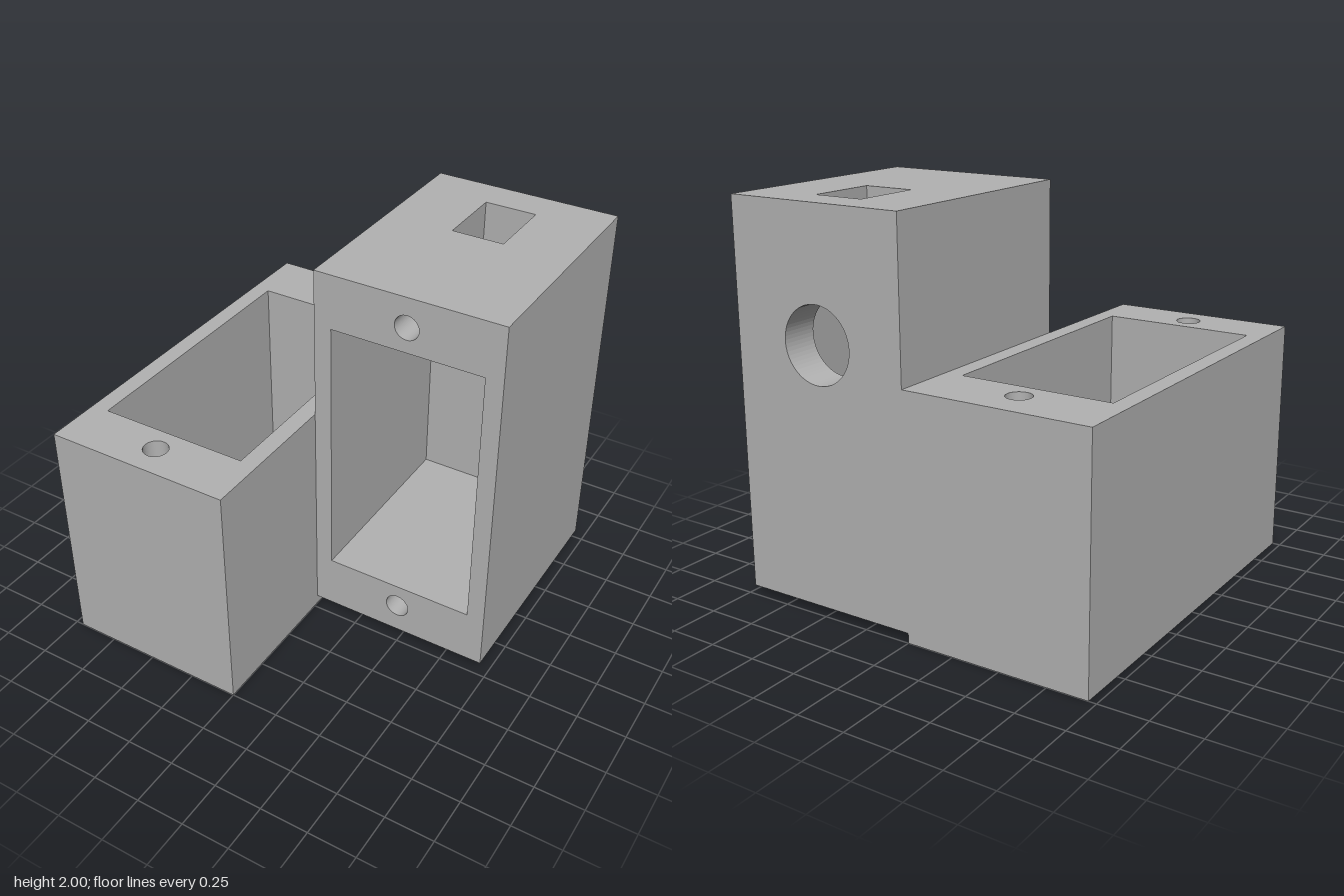
import * as THREE from 'three';

const HALF = 0.48;                                             // half width of a housing
const POCKET = { x: 0.39, y0: -0.715, y1: 0.67 };              // rectangular bay
const FLOOR = 0.19, DEPTH = 1.22, SCREW_DEPTH = 0.4;
const SLOT = { x0: -0.13, x1: 0.135, end: 0.55 };              // cable slot through one end wall

const polygon = (pts, Type = THREE.Shape) => new Type(pts.map(([x, y]) => new THREE.Vector2(x, y)));

const rectangle = (x0, y0, x1, y1, Type) =>
  polygon([[x0, y0], [x1, y0], [x1, y1], [x0, y1]], Type);

const circle = (y, r) => new THREE.Path().absarc(0, y, r, 0, Math.PI * 2, true);

const pocketHole = () => rectangle(-POCKET.x, POCKET.y0, POCKET.x, POCKET.y1, THREE.Path);

// A housing lies with its floor at z = 0 and its bay open toward +z
function createHousing(name, top, hasSlot, material) {
  const housing = new THREE.Group();
  housing.name = name;

  function slab(partName, shape, holes, z0, z1) {
    shape.holes.push(...holes);
    const geometry = new THREE.ExtrudeGeometry(shape, {
      depth: z1 - z0, bevelEnabled: false, curveSegments: 32,
    });
    geometry.translate(0, 0, z0);
    const mesh = new THREE.Mesh(geometry, material);
    mesh.name = partName;
    housing.add(mesh);
  }
  const outline = () => rectangle(-HALF, -1, HALF, top);

  // Floor with its round opening
  slab('floorPlate', outline(), [circle(0.3, 0.19)], 0, FLOOR);

  // Walls at slot level: one outline running around the bay and out through the slot
  const wallStart = hasSlot ? SLOT.end : FLOOR;
  if (hasSlot) {
    const { x, y0, y1 } = POCKET;
    slab('slottedWalls', polygon([
      [-HALF, -1], [HALF, -1], [HALF, top], [SLOT.x1, top], [SLOT.x1, y1], [x, y1],
      [x, y0], [-x, y0], [-x, y1], [SLOT.x0, y1], [SLOT.x0, top], [-HALF, top],
    ]), [], FLOOR, SLOT.end);
  }

  // Plain walls, then the mounting rim with two blind screw holes
  slab('walls', outline(), [pocketHole()], wallStart, DEPTH - SCREW_DEPTH);
  slab('mountingRim', outline(),
    [pocketHole(), circle(0.798, 0.062), circle(-0.842, 0.062)], DEPTH - SCREW_DEPTH, DEPTH);
  return housing;
}

export function createModel() {
  const model = new THREE.Group();
  model.name = 'doubleHousing';
  const grey = new THREE.MeshStandardMaterial({ color: 0xb2b2b2 });
  grey.name = 'grey';

  // Upright housing, bay facing the front
  const upright = createHousing('uprightHousing', 0.95, true, grey);
  upright.position.set(HALF, 1.05, -1);

  // Lying housing, bay facing up
  const lying = createHousing('lyingHousing', 1, false, grey);
  lying.rotation.x = -Math.PI / 2;
  lying.position.x = -HALF;

  model.add(upright, lying);
  return model;
}
